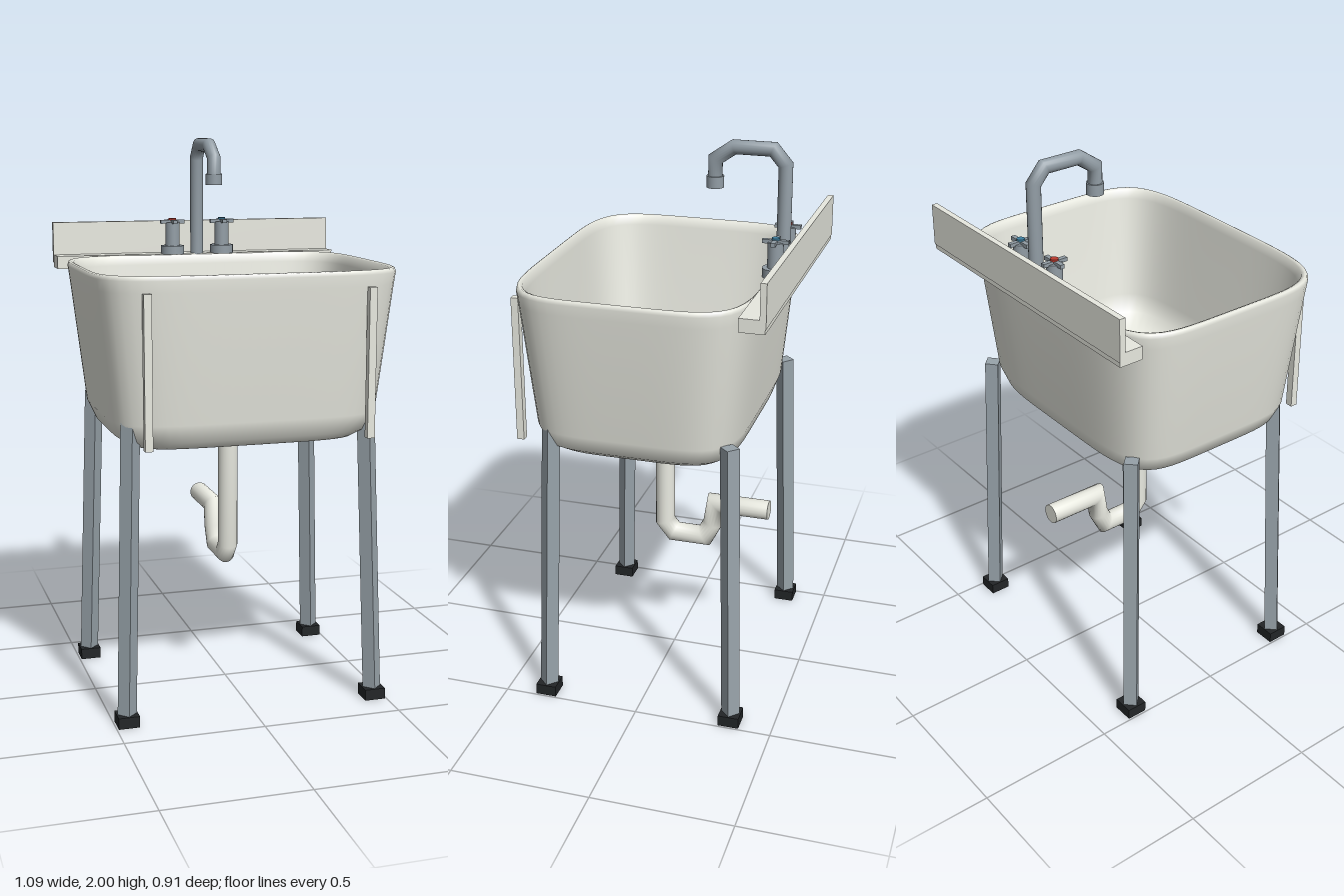
import * as THREE from 'three';

const material = (color) => new THREE.MeshStandardMaterial({ color });

// Smooth skin over closed rings of points
function skin(rings) {
  const n = rings[0].length;
  const index = [];
  for (let i = 0; i < rings.length - 1; i++) {
    for (let j = 0; j < n; j++) {
      const a = i * n + j, b = i * n + (j + 1) % n;
      index.push(a, a + n, b, b, a + n, b + n);
    }
  }
  const geometry = new THREE.BufferGeometry().setFromPoints(rings.flat());
  geometry.setIndex(index);
  geometry.computeVertexNormals();
  return geometry;
}

// Mitred round pipe through [z, y] points in the x = 0 plane, with flat end caps
function pipe(path, radius, sides = 20) {
  const pts = path.map(([z, y]) => new THREE.Vector3(0, y, z));
  const last = pts.length - 1;
  const ring = (i, r) => {
    const before = pts[i].clone().sub(pts[Math.max(i - 1, 0)]).normalize();
    const after = pts[Math.min(i + 1, last)].clone().sub(pts[i]).normalize();
    const t = before.clone().add(after).normalize();
    const stretch = 1 / t.dot(i < last ? after : before);
    return Array.from({ length: sides }, (_, k) => {
      const a = k / sides * Math.PI * 2, s = Math.sin(a) * r * stretch;
      return new THREE.Vector3(Math.cos(a) * r, pts[i].y - t.z * s, pts[i].z + t.y * s);
    });
  };
  const body = pts.map((_, i) => ring(i, radius));
  return skin([ring(0, 0), ring(0, radius), ...body, ring(last, radius), ring(last, 0)]);
}

export function createModel() {
  const model = new THREE.Group();
  const ceramic = material(0xe8e9e0), steel = material(0x929da5), black = material(0x222527);
  const legSteel = material(0x98a3aa);
  legSteel.flatShading = true;

  const add = (name, geometry, mat, x = 0, y = 0, z = 0, parent = model) => {
    const mesh = new THREE.Mesh(geometry, mat);
    mesh.name = name;
    mesh.position.set(x, y, z);
    parent.add(mesh);
    return mesh;
  };
  const box = (w, h, d) => new THREE.BoxGeometry(w, h, d);
  const cyl = (r, h, sides = 24) => new THREE.CylinderGeometry(r, r, h, sides);

  // Basin: rounded-rectangle outline scaled along an outer wall and a bowl-shaped inner wall
  const outline = Array.from({ length: 96 }, (_, k) => {
    const a = k / 96 * Math.PI * 2, c = Math.cos(a), s = Math.sin(a), n = 5.2;
    const r = (Math.abs(c) ** n + Math.abs(s) ** n) ** (-1 / n);
    return [c * r * 0.54, s * r * 0.415];
  });
  const rings = [
    [0.001, 0.967], [0.4, 0.967], [0.76, 0.969], [0.84, 0.997], [0.893, 1.06],
    [0.99, 1.51], [1, 1.55], [0.993, 1.563], [0.98, 1.566], [0.96, 1.561], [0.94, 1.53],
    [0.85, 1.15], [0.8, 1.085], [0.69, 1.04], [0.39, 1.005], [0.001, 1.003],
  ].map(([s, y]) => outline.map(([x, z]) => new THREE.Vector3(x * s, y, z * s + 0.035)));
  add('basin', skin(rings), ceramic);

  // Back ledge and splash board
  add('ledge', box(1.085, 0.047, 0.087), ceramic, 0, 1.5445, -0.4105);
  add('splashBoard', box(1.09, 0.15, 0.021), ceramic, 0, 1.614, -0.4465);

  // Drain with a ring of small holes
  add('drain', cyl(0.044, 0.012, 32), steel, 0, 1.004, 0.03);
  for (let i = 0; i < 8; i++) {
    const a = i / 8 * Math.PI * 2;
    add('drainHole', cyl(0.004, 0.002, 8), black,
      Math.cos(a) * 0.027, 1.0105, 0.03 + Math.sin(a) * 0.027);
  }

  // Waste pipe with trap
  add('wastePipe', pipe([[0.035, 0.985], [0.035, 0.53], [0, 0.486], [-0.12, 0.486],
    [-0.15, 0.545], [-0.163, 0.628], [-0.365, 0.628]], 0.036), ceramic);

  // Spout and its nozzle
  add('spout', pipe([[-0.388, 1.565], [-0.388, 1.925], [-0.345, 1.975], [-0.21, 1.975],
    [-0.145, 1.93], [-0.145, 1.85]], 0.0245), steel);
  add('nozzle', cyl(0.03, 0.04), steel, 0, 1.853, -0.145);

  // Taps with cross handles, hot on the right and cold on the left
  for (const side of [-1, 1]) {
    const tap = new THREE.Group();
    tap.name = side < 0 ? 'hotTap' : 'coldTap';
    tap.position.set(side * 0.097, 1.566, -0.382);
    model.add(tap);
    add('tapBase', cyl(0.044, 0.032), steel, 0, 0.016, 0, tap);
    add('tapStem', cyl(0.027, 0.09), steel, 0, 0.075, 0, tap);
    add('handleBarAcross', box(0.092, 0.014, 0.016), steel, 0, 0.122, 0, tap);
    add('handleBarAlong', box(0.016, 0.0135, 0.092), steel, 0, 0.122, 0, tap);
    add('tapButton', cyl(0.014, 0.008, 16), material(side < 0 ? 0xb83a2e : 0x3f7f9f),
      0, 0.131, 0, tap);
  }

  // Front strips, splayed legs and feet
  const up = new THREE.Vector3(0, 1, 0);
  for (const side of [-1, 1]) {
    add('frontStrip', box(0.027, 0.52, 0.026), ceramic, side * 0.391, 1.25, 0.441);
    for (const [topZ, footZ] of [[0.317, 0.349], [-0.318, -0.345]]) {
      const top = new THREE.Vector3(side * 0.424, 1.065, topZ);
      const foot = new THREE.Vector3(side * 0.456, 0.02, footZ);
      const axis = top.clone().sub(foot);
      const mid = top.clone().add(foot).multiplyScalar(0.5);
      const leg = add('leg', cyl(0.034, axis.length(), 4), legSteel, mid.x, mid.y, mid.z);
      leg.quaternion.setFromUnitVectors(up, axis.normalize());
      add('foot', box(0.075, 0.04, 0.075), black, foot.x, 0.02, foot.z);
    }
  }
  return model;
}
